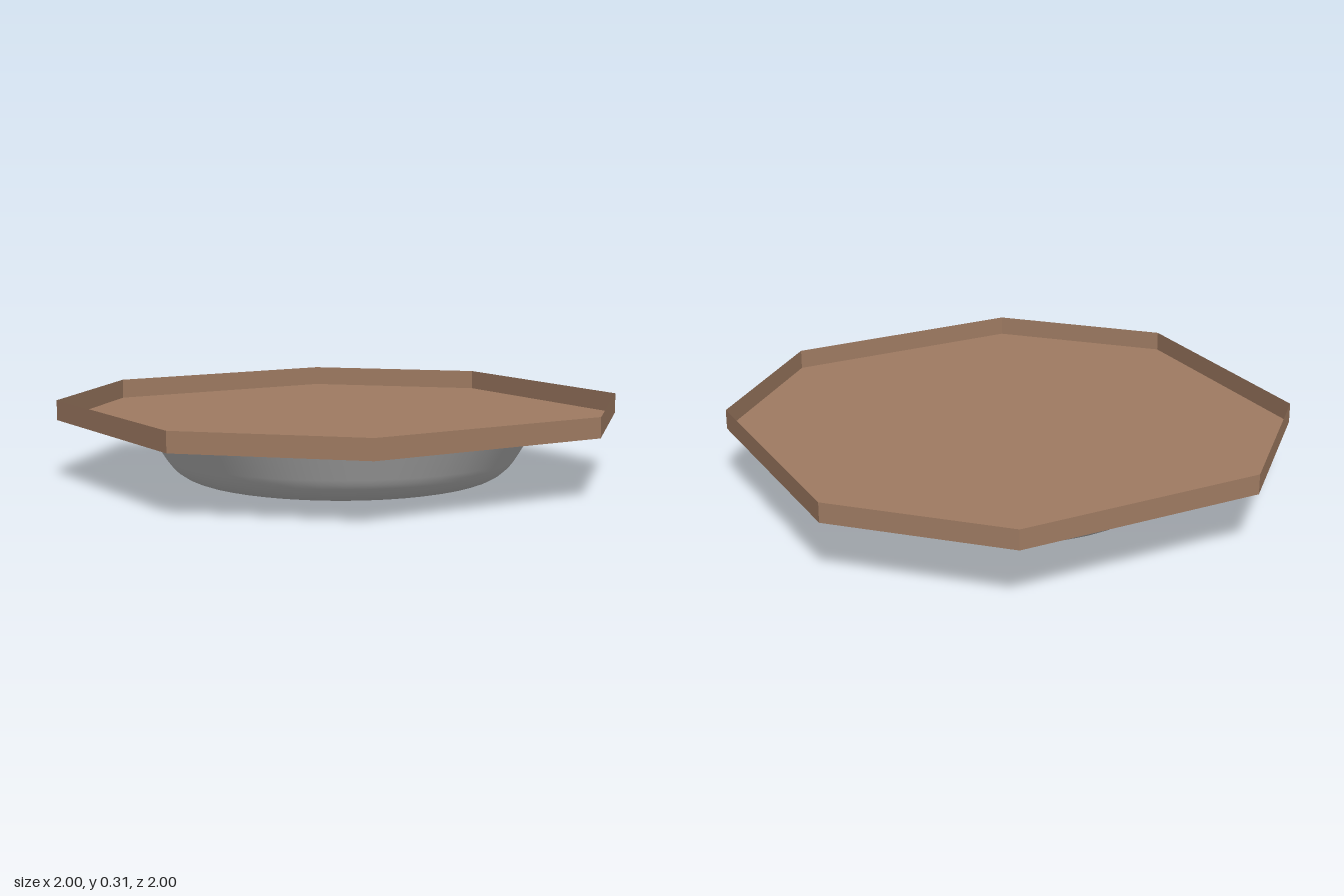
import * as THREE from 'three';

export function createModel() {
  const model = new THREE.Group();
  const wood = new THREE.MeshStandardMaterial({ color: 0xa07c63, side: THREE.DoubleSide });
  wood.name = 'brown wood';
  const metal = new THREE.MeshStandardMaterial({ color: 0xd0d0d0, side: THREE.DoubleSide });
  metal.name = 'light grey';

  const floorY = 0.237, rimY = 0.315, c = 0.487;
  const corners = [[1, -c], [1, c], [c, 1], [-c, 1], [-1, c], [-1, -c], [-c, -1], [c, -1]]
    .map(([x, y]) => new THREE.Vector2(x, y));

  // Octagonal tray floor
  const floor = new THREE.Mesh(new THREE.ShapeGeometry(new THREE.Shape(corners)), wood);
  floor.name = 'trayFloor';
  floor.rotation.x = -Math.PI / 2;
  floor.position.y = floorY;
  model.add(floor);

  // Thin upright walls, one for each side of the octagon
  const walls = new THREE.Group();
  walls.name = 'trayWalls';
  corners.forEach((a, i) => {
    const b = corners[(i + 1) % corners.length];
    const wall = new THREE.Mesh(new THREE.PlaneGeometry(a.distanceTo(b), rimY - floorY), wood);
    wall.name = 'trayWall';
    wall.position.set((a.x + b.x) / 2, (floorY + rimY) / 2, -(a.y + b.y) / 2);
    // Turn the plane's normal to point away from the centre
    wall.rotation.y = Math.atan2(b.y - a.y, -(b.x - a.x)) + 0;
    const out = new THREE.Vector2(b.y - a.y, -(b.x - a.x));
    wall.rotation.y = Math.atan2(out.x, -out.y);
    walls.add(wall);
  });
  model.add(walls);

  // Round bowl under the tray: flat bottom, rounded heel, sloping side
  const heel = new THREE.CubicBezierCurve(
    new THREE.Vector2(0.53, 0), new THREE.Vector2(0.61, 0),
    new THREE.Vector2(0.66, 0.03), new THREE.Vector2(0.702, 0.1));
  const profile = [new THREE.Vector2(0, 0), new THREE.Vector2(0.51, 0),
    ...heel.getPoints(10), new THREE.Vector2(0.785, floorY)];
  const bowl = new THREE.Mesh(new THREE.LatheGeometry(profile, 48), metal);
  bowl.name = 'bowl';
  model.add(bowl);

  return model;
}
